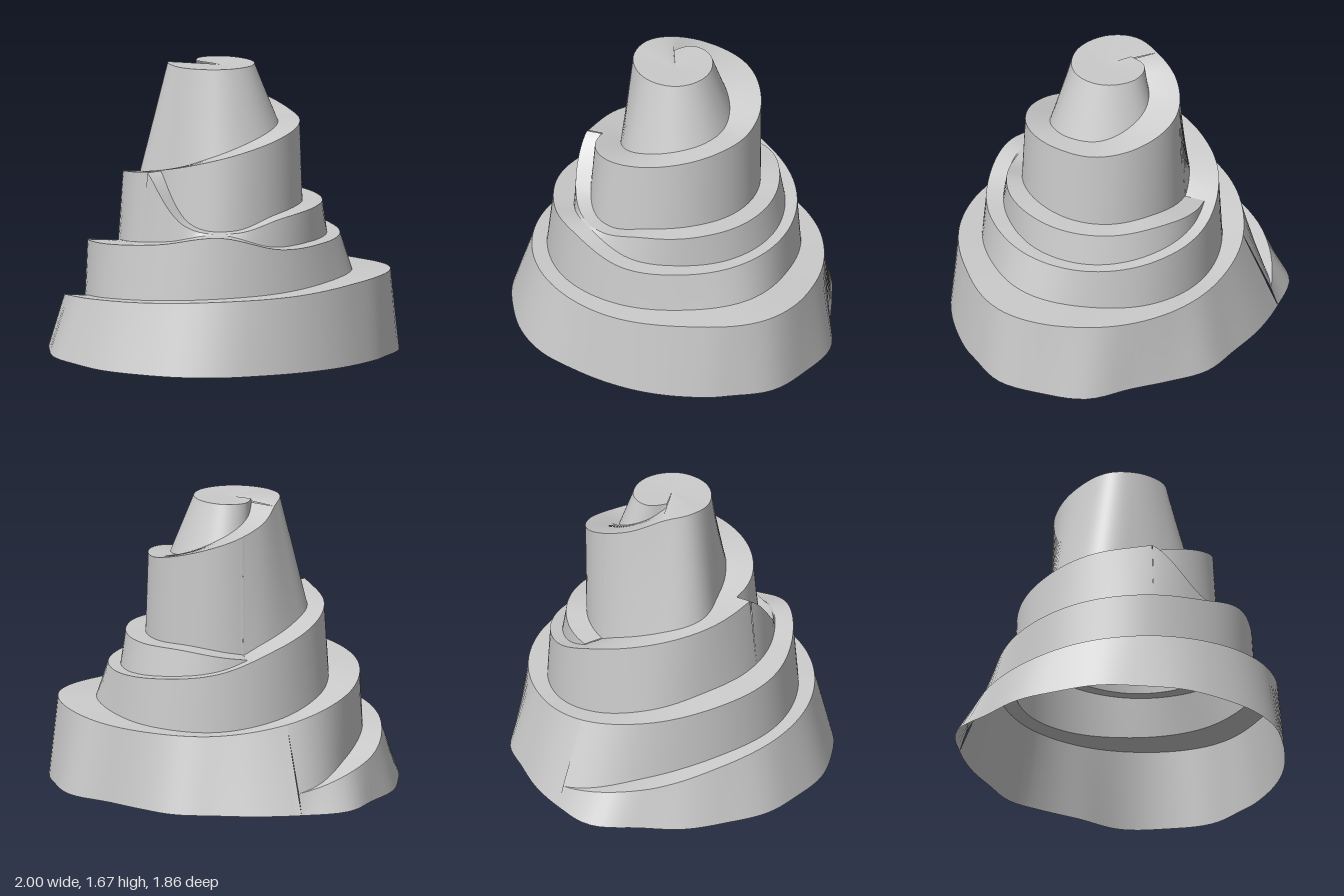
import * as THREE from 'three';

// Radii and heights are read every 30 degrees along a path that keeps winding upward.
// Angle 0 is +x, 90 is the back, 180 is -x, 270 is the front.
const STEP = 3;
const START = -225; // foot of the path
const LOOP = 135; // path passes above its own foot
const MERGE = 480; // main path meets the end of the side path
const FORK = 594; // side path leaves the main path
const SIDE_END = MERGE + 360;
const TOP = 885; // path reaches the summit
const END = 1245;

// Smooth curve through evenly spaced values, held constant past its ends
function curve(start, spacing, values) {
  const at = (i) => values[THREE.MathUtils.clamp(i, 0, values.length - 1)];
  return (angle) => {
    const s = (angle - start) / spacing;
    const i = Math.floor(s);
    const t = s - i;
    const m0 = (at(i + 1) - at(i - 1)) / 2;
    const m1 = (at(i + 2) - at(i)) / 2;
    const d = at(i + 1) - at(i);
    return at(i) + m0 * t + (3 * d - 2 * m0 - m1) * t * t + (m0 + m1 - 2 * d) * t * t * t;
  };
}

const groundRadius = curve(0, 15, [0.97, 1.03, 1.01, 1, 0.91, 0.9, 0.93, 0.91, 0.94, 0.99, 1.06, 1,
  1, 0.975, 0.98, 0.95, 0.95, 0.93, 0.925, 0.91, 0.88, 0.88, 0.9, 0.93, 0.97]);

// Main path: height, outer edge, and inner edge before and after the merge
const pathHeight = curve(START, 30, [0.12, 0.22, 0.32, 0.37, 0.4, 0.425, 0.44, 0.46, 0.47, 0.45, 0.44, 0.44,
  0.49, 0.57, 0.64, 0.68, 0.72, 0.775, 0.69, 0.68, 0.68, 0.69, 0.725, 0.78,
  0.9, 0.98, 1.04, 1.08, 1.13, 1.19, 1.25, 1.3, 1.33, 1.35, 1.41, 1.49, 1.57, 1.645, 1.667]);
const outerRadius = curve(START, 30, [0.95, 0.95, 0.88, 0.84, 0.82, 0.82, 0.84, 0.88, 0.98, 0.91, 0.84, 0.79,
  0.79, 0.785, 0.755, 0.73, 0.695, 0.7, 0.69, 0.68, 0.69, 0.695, 0.7, 0.69, 0.65, 0.59, 0.55, 0.52, 0.55]);
const lowerInnerRadius = curve(START, 30, [0.95, 0.81, 0.77, 0.76, 0.73, 0.72, 0.71, 0.72, 0.76, 0.72, 0.72, 0.7,
  0.67, 0.63, 0.575, 0.57, 0.58, 0.6, 0.59, 0.59, 0.615, 0.63, 0.63, 0.62, 0.59]);
const upperInnerRadius = curve(465, 30, [0.49, 0.48, 0.46, 0.45,
  0.34, 0.31, 0.315, 0.32, 0.33, 0.335, 0.325, 0.31, 0.29, 0.23, 0.16]);

// Outer edge above the fork, ending as the summit rim
const rimRadius = curve(585, 30, [0.43, 0.46, 0.47, 0.465, 0.46, 0.46, 0.475, 0.495, 0.49, 0.41, 0.32,
  0.295, 0.265, 0.23, 0.21, 0.2, 0.2, 0.2, 0.205, 0.215, 0.23, 0.22, 0.155]);

// Side path that dips from the fork and runs round to the back
const sideHeight = curve(FORK, 30, [1.09, 0.82, 0.78, 0.845, 0.87, 0.87, 0.875, 0.885, 0.85, 0.81]);
const sideOuterRadius = curve(585, 30, [0.52, 0.57, 0.585, 0.57, 0.585, 0.59, 0.595, 0.6, 0.615, 0.59]);
const sideInnerRadius = curve(585, 30, [0.42, 0.48, 0.51, 0.485, 0.475, 0.475, 0.485, 0.49, 0.49, 0.48]);

// Edges as angle -> [radius, height]
const ground = (a) => [groundRadius(THREE.MathUtils.euclideanModulo(a, 360)), 0];
const outer = (a) => [outerRadius(a), pathHeight(a)];
const lowerInner = (a) => [lowerInnerRadius(a), pathHeight(a)];
const upperInner = (a) => [upperInnerRadius(a), pathHeight(a)];
const rim = (a) => [rimRadius(a), pathHeight(a)];
const sideOuter = (a) => [sideOuterRadius(a), sideHeight(a)];
const sideInner = (a) => [sideInnerRadius(a), sideHeight(a)];
const summit = () => [0, 1.66];
const oneLoopBelow = (edge) => (a) => edge(a - 360);

export function createModel() {
  const group = new THREE.Group();
  const material = new THREE.MeshStandardMaterial({ color: 0xcccccc, side: THREE.DoubleSide });

  // Surface between a lower (or outer) edge and an upper (or inner) edge
  function strip(name, from, to, low, high) {
    const positions = [];
    const index = [];
    const count = (to - from) / STEP;
    for (let i = 0; i <= count; i++) {
      const angle = from + i * STEP;
      const t = THREE.MathUtils.degToRad(angle);
      for (const [r, y] of [low(angle), high(angle)]) positions.push(r * Math.cos(t), y, -r * Math.sin(t));
      const k = 2 * i;
      if (i < count) index.push(k, k + 2, k + 3, k, k + 3, k + 1);
    }
    const geometry = new THREE.BufferGeometry();
    geometry.setAttribute('position', new THREE.Float32BufferAttribute(positions, 3));
    geometry.setIndex(index);
    geometry.computeVertexNormals();
    const mesh = new THREE.Mesh(geometry, material);
    mesh.name = name;
    group.add(mesh);
  }

  // Walls, from the ground upward
  strip('baseWall', START, LOOP, ground, outer);
  strip('middleWall', LOOP, FORK, oneLoopBelow(lowerInner), outer);
  strip('sidePathWall', FORK, SIDE_END, oneLoopBelow(lowerInner), sideOuter);
  strip('upperWall', FORK, SIDE_END, sideInner, rim);
  strip('summitWall', SIDE_END, END, oneLoopBelow(upperInner), rim);

  // Path surfaces and the flat summit
  strip('lowerPath', START, MERGE, outer, lowerInner);
  strip('middlePath', MERGE, FORK, outer, upperInner);
  strip('upperPath', FORK, TOP, rim, upperInner);
  strip('sidePath', FORK, SIDE_END, sideOuter, sideInner);
  strip('summitTop', TOP, END, rim, summit);

  return group;
}
